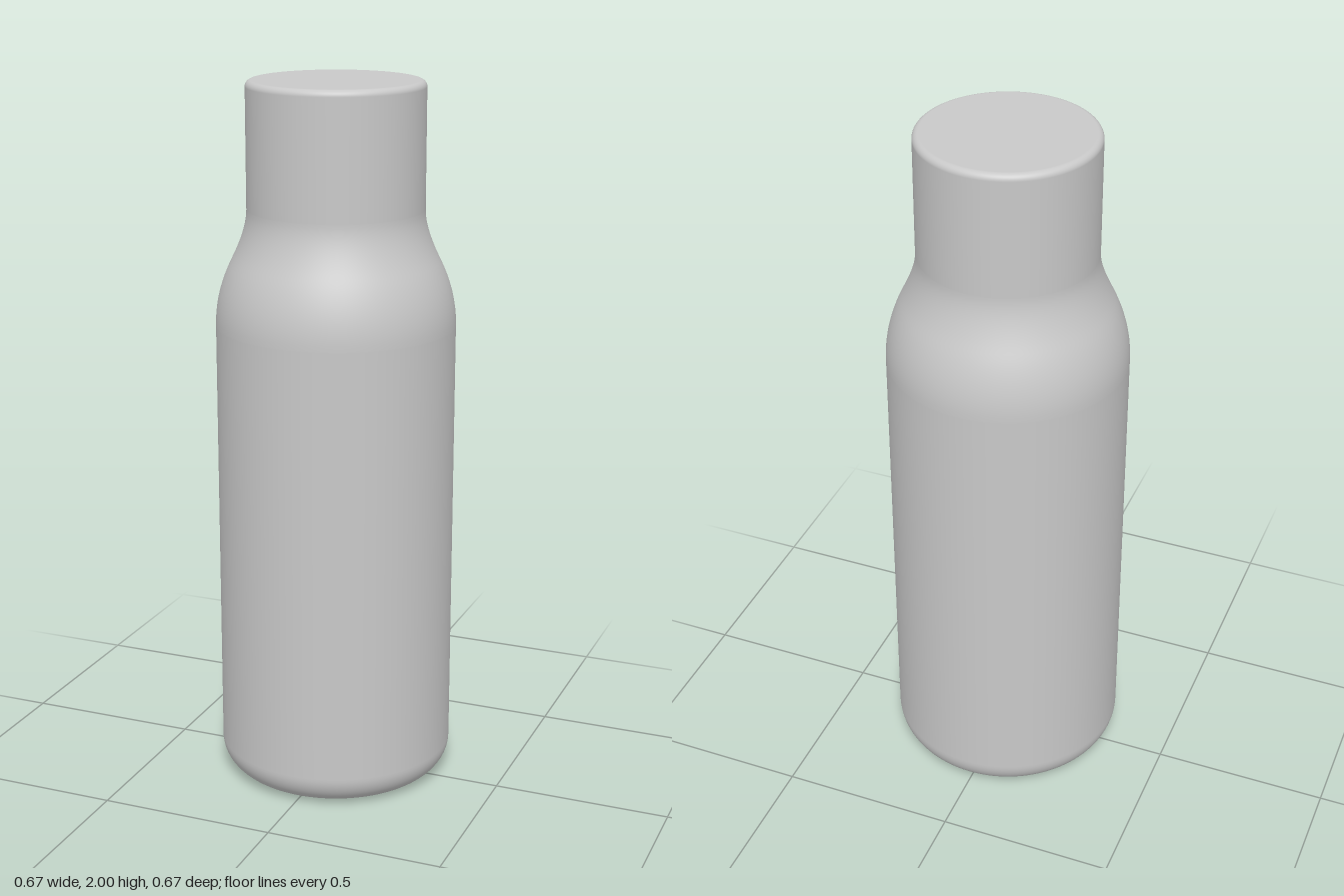
import * as THREE from 'three';

export function createModel() {
  const group = new THREE.Group();
  const grey = new THREE.MeshStandardMaterial({ color: 0xc8c8c8 });
  grey.name = 'plain grey';

  const R = 0.333, neckR = 0.245, foot = 0.09, lip = 0.018, e = 0.002;

  // Half outline, from the centre of the base up to the centre of the lid.
  // The short extra steps keep the flats and straight walls crisply shaded.
  const outline = new THREE.Path();
  outline.moveTo(0, 0);
  outline.lineTo(R - foot - e, 0);
  outline.lineTo(R - foot, 0);
  outline.absarc(R - foot, foot, foot, -Math.PI / 2, 0, false); // rounded foot
  outline.lineTo(R, foot + e);
  outline.lineTo(R, 1.33 - e);
  outline.lineTo(R, 1.33);
  outline.quadraticCurveTo(R, 1.42, 0.288, 1.51); // convex shoulder
  outline.quadraticCurveTo(neckR, 1.596, neckR, 1.65); // concave neck
  outline.lineTo(neckR, 1.65 + e);
  outline.lineTo(neckR, 2 - lip - e);
  outline.lineTo(neckR, 2 - lip);
  outline.absarc(neckR - lip, 2 - lip, lip, 0, Math.PI / 2, false); // rounded lid edge
  outline.lineTo(neckR - lip - e, 2);
  outline.lineTo(0, 2);

  // Drop coincident points so that every lathe step has a valid normal.
  const points = outline.getPoints(12).filter(
    (p, i, all) => i === 0 || p.distanceTo(all[i - 1]) > 1e-5);
  points.forEach((p) => { if (p.x < 1e-6) p.x = 0; });

  const bottle = new THREE.Mesh(new THREE.LatheGeometry(points, 96), grey);
  bottle.name = 'bottle';
  group.add(bottle);
  return group;
}
